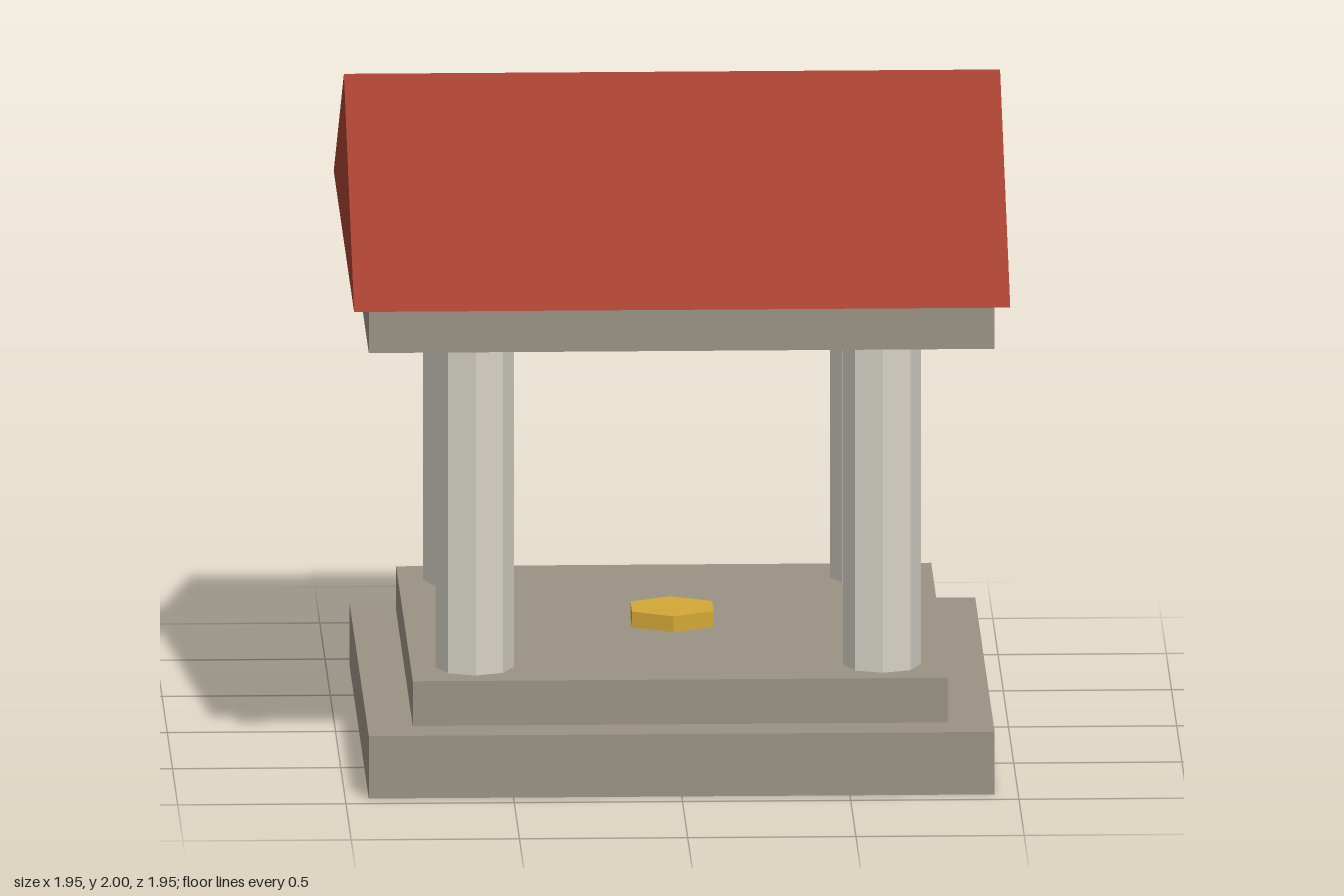
import * as THREE from 'three';

const material = (color) => new THREE.MeshStandardMaterial({ color, flatShading: true });

export function createModel() {
  const group = new THREE.Group();
  const stone = material(0x9a9284);
  const marble = material(0xd6d2c6);
  const tile = material(0xa34030);
  const gold = material(0xd4a838);

  const add = (name, geometry, mat, x, y, z) => {
    const mesh = new THREE.Mesh(geometry, mat);
    mesh.name = name;
    mesh.position.set(x, y, z);
    group.add(mesh);
  };

  // Square slab between two heights
  const slab = (name, width, bottom, top) =>
    add(name, new THREE.BoxGeometry(width, top - bottom, width), stone, 0, (bottom + top) / 2, 0);

  slab('baseStep', 1.86, 0, 0.19);
  slab('upperStep', 1.59, 0.19, 0.326);
  slab('entablature', 1.86, 1.355, 1.49);

  // Four octagonal columns
  const column = new THREE.CylinderGeometry(0.116, 0.116, 1.029, 8);
  for (const x of [-0.605, 0.605]) {
    for (const z of [-0.605, 0.605]) add('column', column, marble, x, 0.8405, z);
  }

  // Hexagonal plate in the middle of the floor
  add('floorPlate', new THREE.CylinderGeometry(0.14, 0.14, 0.048, 6), gold, 0, 0.35, 0);

  // Gable roof with its ridge along x
  const gable = new THREE.Shape([
    new THREE.Vector2(-0.975, 0),
    new THREE.Vector2(0.975, 0),
    new THREE.Vector2(0, 0.51),
  ]);
  const roof = new THREE.ExtrudeGeometry(gable, { depth: 1.95, bevelEnabled: false });
  roof.translate(0, 0, -0.975).rotateY(Math.PI / 2);
  add('roof', roof, tile, 0, 1.49, 0);

  return group;
}
